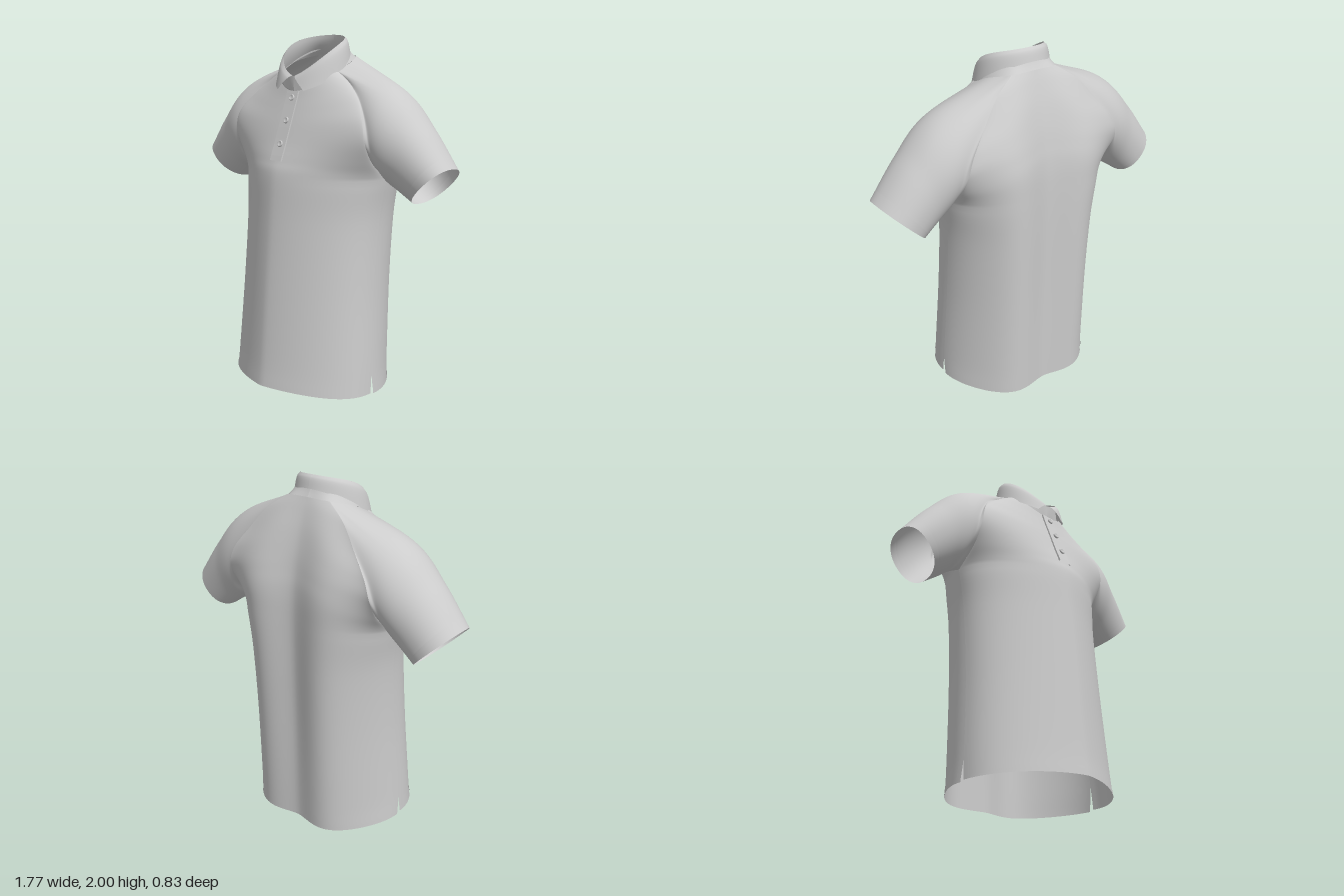
import * as THREE from 'three';

const V = (x, y, z) => new THREE.Vector3(x, y, z);
const curve = pts => new THREE.CatmullRomCurve3(pts.map(p => V(...p)), false, 'centripetal');
// uniform spline, so that t runs evenly over the sections
const spline = pts => new THREE.CatmullRomCurve3(pts.map(p => V(...p)), false, 'catmullrom', 0.5);
const lerp = THREE.MathUtils.lerp;
const material = new THREE.MeshStandardMaterial({ color: 0xcccccc, side: THREE.DoubleSide });

// Surface grid from fn(u, v); the normal is du x dv unless flipped
function grid(name, nu, nv, fn, flip = false) {
  const pos = [], idx = [];
  for (let j = 0; j <= nv; j++) {
    for (let i = 0; i <= nu; i++) pos.push(...fn(i / nu, j / nv).toArray());
  }
  for (let j = 0; j < nv; j++) {
    for (let i = 0; i < nu; i++) {
      const a = j * (nu + 1) + i, b = a + 1, c = b + nu + 1, d = a + nu + 1;
      if (flip) idx.push(a, c, b, a, d, c);
      else idx.push(a, b, c, a, c, d);
    }
  }
  const geo = new THREE.BufferGeometry();
  geo.setAttribute('position', new THREE.Float32BufferAttribute(pos, 3));
  geo.setIndex(idx);
  geo.computeVertexNormals();
  const mesh = new THREE.Mesh(geo, material);
  mesh.name = name;
  return mesh;
}

// Side seams (open at the hem as a slit) and raglan seams, underarm to neck
const sideSeam = (slit, hemY) => spline([[0.473, hemY, slit], [0.467, 0.2, 0], [0.45, 0.62, -0.03],
  [0.453, 1.0, -0.065], [0.485, 1.24, -0.08]]);
const frontRaglan = spline([[0.485, 1.24, -0.08], [0.491, 1.34, 0.05], [0.492, 1.45, 0.115],
  [0.47, 1.56, 0.11], [0.4, 1.66, 0.055], [0.3, 1.745, 0.01], [0.2, 1.81, 0]]);
const backRaglan = spline([[0.485, 1.24, -0.08], [0.49, 1.34, -0.26], [0.485, 1.45, -0.335],
  [0.45, 1.56, -0.335], [0.36, 1.68, -0.3], [0.26, 1.8, -0.26], [0.14, 1.885, -0.22]]);
const neckSide = curve([[0.2, 1.81, 0], [0.203, 1.855, -0.11], [0.14, 1.885, -0.22]]);

// Panel: centre line, seam edge, and [roundness p, roundness q, shoulder blade bulge] per section
function panel(centre, side, raglan, shape) {
  const c = spline(centre), k = spline(shape);
  return (s, t) => {
    const C = c.getPoint(t), K = k.getPoint(t);
    const E = t < 0.4 ? side.getPoint(t / 0.4) : raglan.getPoint((t - 0.4) / 0.6);
    const u = Math.min(1, Math.sin(Math.abs(s) * Math.PI / 2));
    const f = 1 - Math.pow(Math.max(0, 1 - Math.pow(u, K.x)), K.y);
    const bulge = K.z * Math.max(0, Math.sin(Math.PI * u)) ** 1.6;
    return V(Math.sign(s) * E.x * u, lerp(C.y, E.y, u * u), lerp(C.z, E.z, f) - bulge);
  };
}
const front = panel(
  [[0, 0.065, 0.41], [0, 0.22, 0.392], [0, 0.62, 0.357], [0, 1.0, 0.322], [0, 1.24, 0.3], [0, 1.33, 0.273],
    [0, 1.42, 0.237], [0, 1.52, 0.2], [0, 1.6, 0.17], [0, 1.66, 0.148], [0, 1.7, 0.135]],
  sideSeam(0.014, 0.034), frontRaglan,
  [[1.4, 0.43, 0], [1.4, 0.43, 0], [1.42, 0.44, 0], [1.5, 0.46, 0], [1.55, 0.5, 0], [1.6, 0.67, 0],
    [1.7, 0.8, 0], [1.75, 0.76, 0], [1.8, 0.66, 0], [1.9, 0.56, 0], [2, 0.5, 0]]);
const back = panel(
  [[0, 0.003, -0.355], [0, 0.2, -0.358], [0, 0.62, -0.362], [0, 1.0, -0.367], [0, 1.28, -0.367], [0, 1.42, -0.36],
    [0, 1.52, -0.345], [0, 1.62, -0.325], [0, 1.73, -0.295], [0, 1.83, -0.26], [0, 1.89, -0.235]],
  sideSeam(-0.014, 0.026), backRaglan,
  [[2.5, 0.53, 0.05], [2.6, 0.52, 0.051], [2.9, 0.5, 0.053], [3.1, 0.47, 0.055], [3.4, 0.46, 0.056], [3.1, 0.58, 0.056],
    [2.7, 0.8, 0.048], [2.2, 0.88, 0.034], [2, 0.88, 0.02], [2, 0.85, 0.006], [2, 0.8, 0]]);
const raise = p => V(p.x * 1.006, p.y, p.z * 1.006);

// Sleeve: armhole loop lofted through tilted, slightly squared ellipses to the cuff
function armhole(u) {
  const n = u * 72;
  if (n <= 30) return frontRaglan.getPoint(n / 30);
  if (n <= 42) return neckSide.getPoint((n - 30) / 12);
  return backRaglan.getPoint((72 - n) / 30);
}
const rings = [
  { c: [0.535, 1.47, -0.108], a: [-0.01, 0.255], rz: 0.212, shear: 0, square: 1 },
  { c: [0.655, 1.36, -0.112], a: [0.065, 0.18], rz: 0.183, shear: 0.06, square: 0.96 },
  { c: [0.777, 1.23, -0.12], a: [0.106, 0.104], rz: 0.155, shear: 0.14, square: 0.9 },
];
const soften = (x, e) => Math.sign(x) * Math.abs(x) ** e;
function sleevePoint(u, v) {
  const pts = rings.map(({ c, a, rz, shear, square }) => {
    const out = soften(Math.sin(u * Math.PI * 2), square);
    const up = soften(-Math.cos(u * Math.PI * 2), square) + shear * out;
    return [c[0] + a[0] * up, c[1] + a[1] * up, c[2] + rz * out];
  });
  return spline([armhole(u).toArray(), ...pts]).getPoint(v);
}

// Collar, by angle from the front centre round to the back
const neckline = curve([[0, 1.695, 0.134], [0.11, 1.73, 0.105], [0.2, 1.81, 0], [0.2, 1.855, -0.11],
  [0.135, 1.883, -0.218], [0, 1.888, -0.234]]);
function foldLine(q) {
  const s = Math.sin(q), c = Math.cos(q);
  return V(0.175 * s, 1.89 - 0.11 * c + 0.025 * s * (1 + c) + 0.03 * s * s, -0.028 + 0.163 * c);
}
const leafEdge = q => V(0.212 * Math.sin(q), 1.812 - 0.12 * Math.cos(q), -0.02 + 0.204 * Math.cos(q));
function standPoint(u, v) {
  const a = neckline.getPoint(u), b = foldLine(u * Math.PI), inward = 1 - (1 - v) ** 2;
  return V(lerp(a.x, b.x, inward), lerp(a.y, b.y, v), lerp(a.z, b.z, inward));
}
function leafPoint(u, v) {
  const q = lerp(0.06 + 0.42 * v, Math.PI, u);
  const p = foldLine(q).lerp(leafEdge(q), v), puff = 0.01 * Math.sin(Math.PI * Math.sqrt(v));
  return V(p.x + puff * Math.sin(q), p.y, p.z + puff * Math.cos(q));
}

export function createModel() {
  const shirt = new THREE.Group();
  shirt.name = 'poloShirt';

  // Body panels with raised hem bands
  shirt.add(grid('frontPanel', 64, 60, (u, v) => front(u * 2 - 1, v)));
  shirt.add(grid('backPanel', 64, 60, (u, v) => back(1 - u * 2, v)));
  shirt.add(grid('frontHem', 64, 1, (u, v) => raise(front(u * 2 - 1, v * 0.014))));
  shirt.add(grid('backHem', 64, 1, (u, v) => raise(back(1 - u * 2, v * 0.014))));

  // Paired parts
  for (const side of [1, -1]) {
    const label = side > 0 ? 'left' : 'right';
    const mirror = p => V(p.x * side, p.y, p.z);
    const add = (name, nu, nv, fn, flip) =>
      shirt.add(grid(label + name, nu, nv, (u, v) => mirror(fn(u, v)), flip === (side > 0)));
    add('Sleeve', 72, 24, (u, v) => sleevePoint(u, v * 0.92), true);
    add('Cuff', 72, 3, (u, v) => sleevePoint(u, 0.92 + v * 0.08), true);
    add('CollarStand', 40, 6, standPoint, true);
    add('CollarLeaf', 40, 8, leafPoint, false);
    add('FrontSlitTrim', 4, 8, (u, v) => raise(front(0.94 + u * 0.06, v * 0.105)), false);
    add('BackSlitTrim', 4, 8, (u, v) => raise(back(0.94 + u * 0.06, v * 0.105)), true);
  }

  // Button placket: a raised strip down the front centre
  const strip = [[-0.042, -0.006], [-0.042, 0.008], [0.042, 0.008], [0.042, -0.006]];
  const placket = grid('placket', 3, 16, (u, v) => {
    const p = front(0, lerp(0.5, 1, v)), [x, lift] = strip[Math.round(u * 3)];
    return V(x, p.y, p.z + lift);
  });
  placket.geometry = placket.geometry.toNonIndexed();
  placket.geometry.computeVertexNormals();
  shirt.add(placket);

  // Dished buttons
  const profile = [[0, 0.004], [0.009, 0.004], [0.012, 0.008], [0.016, 0.007], [0.018, 0.003], [0.017, -0.003]];
  const buttonGeo = new THREE.LatheGeometry(profile.map(p => new THREE.Vector2(...p)).reverse(), 20);
  for (const [y, z] of [[1.665, 0.146], [1.545, 0.191], [1.42, 0.237]]) {
    const button = new THREE.Mesh(buttonGeo, material);
    button.name = 'button';
    button.position.set(0.006, y, z + 0.01);
    button.rotation.x = 1.22;
    shirt.add(button);
  }
  return shirt;
}
